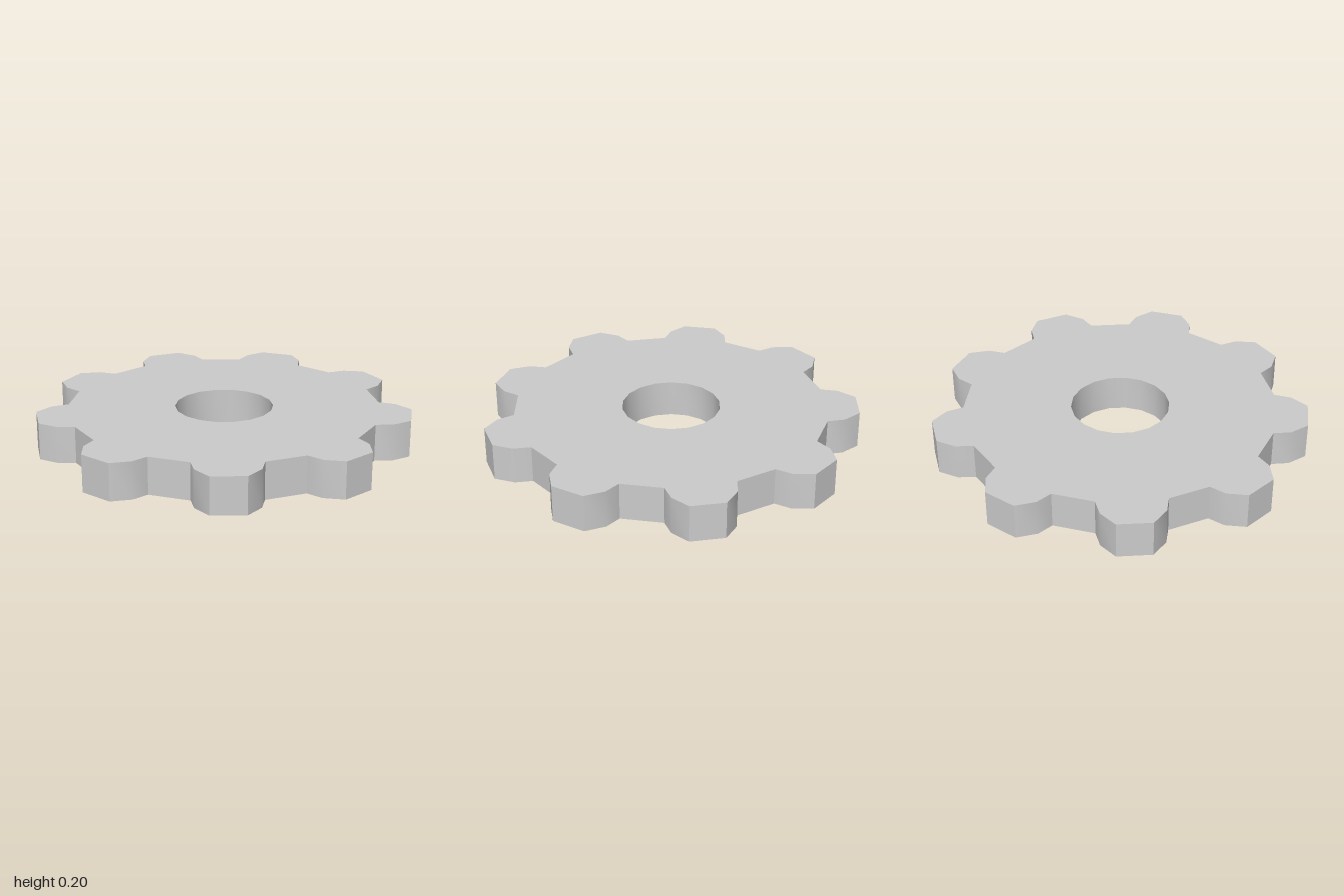
import * as THREE from 'three';
import { toCreasedNormals } from 'three/addons/utils/BufferGeometryUtils.js';

const TEETH = 9;
const HEIGHT = 0.2;
const HOLE_SIDES = 18;
const HOLE_RADIUS = 0.264;
const CENTRE_Z = -0.015;

// Half of one tooth, from root to tip: [sideways, outwards]
const halfTooth = [[0.18, 0.82], [0.162, 0.912], [0.091, 1.0]];

export function createModel() {
  const group = new THREE.Group();
  group.name = 'gear';

  // Mirrored tooth repeated around the rim, the first one facing +z
  const tooth = [
    ...halfTooth,
    ...halfTooth.map(([x, y]) => [-x, y]).reverse(),
  ];
  const outline = [];
  for (let i = 0; i < TEETH; i++) {
    const angle = (i / TEETH) * Math.PI * 2;
    for (const [x, y] of tooth) {
      outline.push(new THREE.Vector2(x, y).rotateAround(new THREE.Vector2(), angle));
    }
  }
  const shape = new THREE.Shape(outline);

  // Axle hole, with flat facets at front and back
  const hole = [];
  for (let i = 0; i < HOLE_SIDES; i++) {
    const a = (i / HOLE_SIDES) * Math.PI * 2;
    hole.push(new THREE.Vector2(Math.cos(a), Math.sin(a)).multiplyScalar(HOLE_RADIUS));
  }
  shape.holes.push(new THREE.Path(hole));

  // Lay the plate flat, standing on the ground
  const plate = new THREE.ExtrudeGeometry(shape, { depth: HEIGHT, bevelEnabled: false });
  plate.rotateX(Math.PI / 2);
  plate.translate(0, HEIGHT, CENTRE_Z);

  const mesh = new THREE.Mesh(
    toCreasedNormals(plate, THREE.MathUtils.degToRad(30)),
    new THREE.MeshStandardMaterial({ color: 0xcccccc })
  );
  mesh.name = 'toothedWheel';
  group.add(mesh);
  return group;
}
